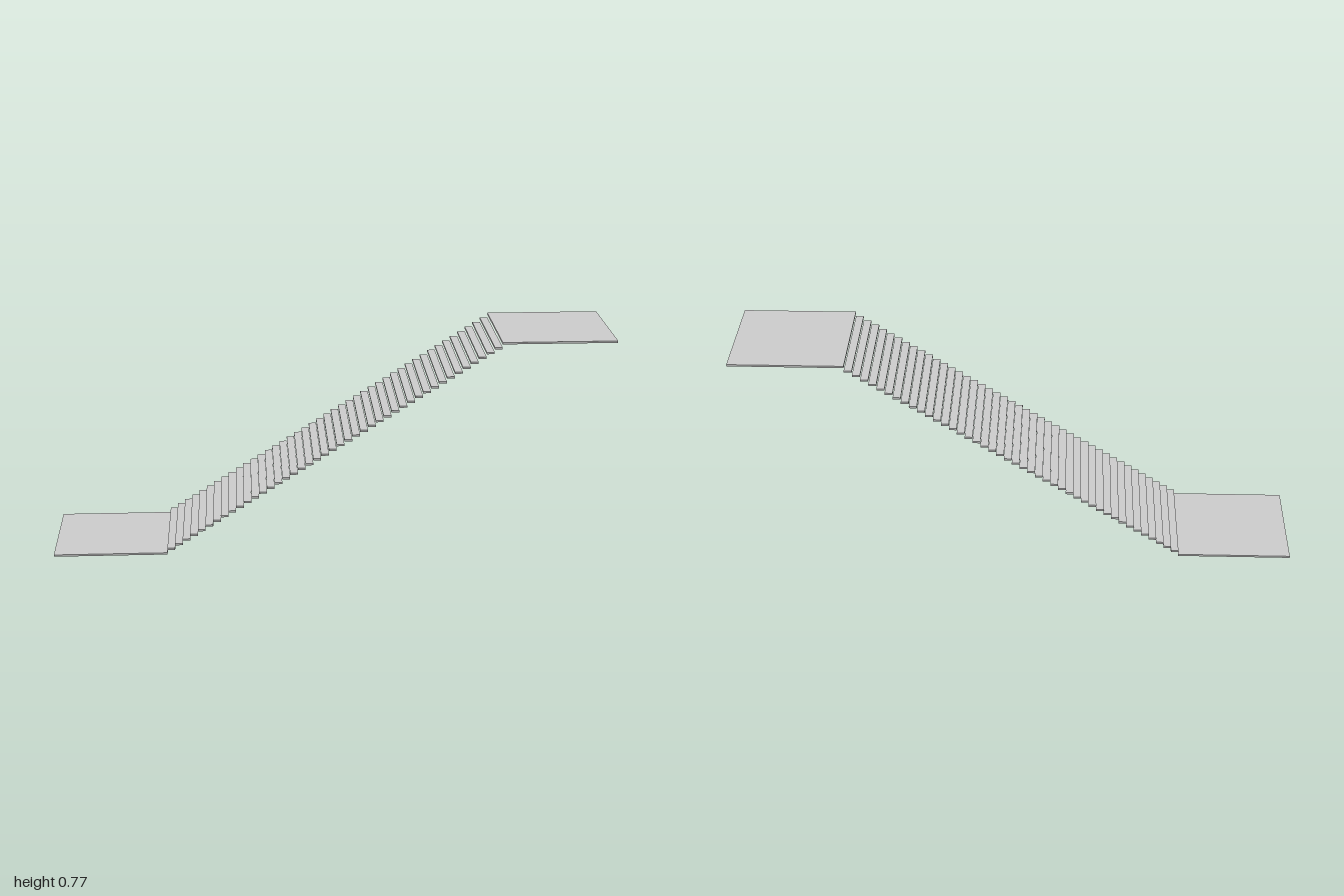
import * as THREE from 'three';

export function createModel() {
  const group = new THREE.Group();
  const material = new THREE.MeshStandardMaterial({ color: 0xcccccc, flatShading: true });

  const steps = 43;
  const rise = 0.0174;
  const thickness = 0.007;
  const width = 0.406;          // depth in z, landings are square
  const inner = 1 - width;      // x where the flight meets a landing
  const tread = (2 * inner) / steps;

  function slab(name, length, x, level) {
    const mesh = new THREE.Mesh(new THREE.BoxGeometry(length, thickness, width), material);
    mesh.name = name;
    mesh.position.set(x, level * rise + thickness / 2, 0);
    group.add(mesh);
  }

  // Square landings at the bottom and top
  slab('lowerLanding', width, -1 + width / 2, 0);
  slab('upperLanding', width, 1 - width / 2, steps + 1);

  // Floating treads climbing towards +x
  for (let i = 0; i < steps; i++) {
    slab(`tread${i + 1}`, tread, -inner + (i + 0.5) * tread, i + 1);
  }
  return group;
}
